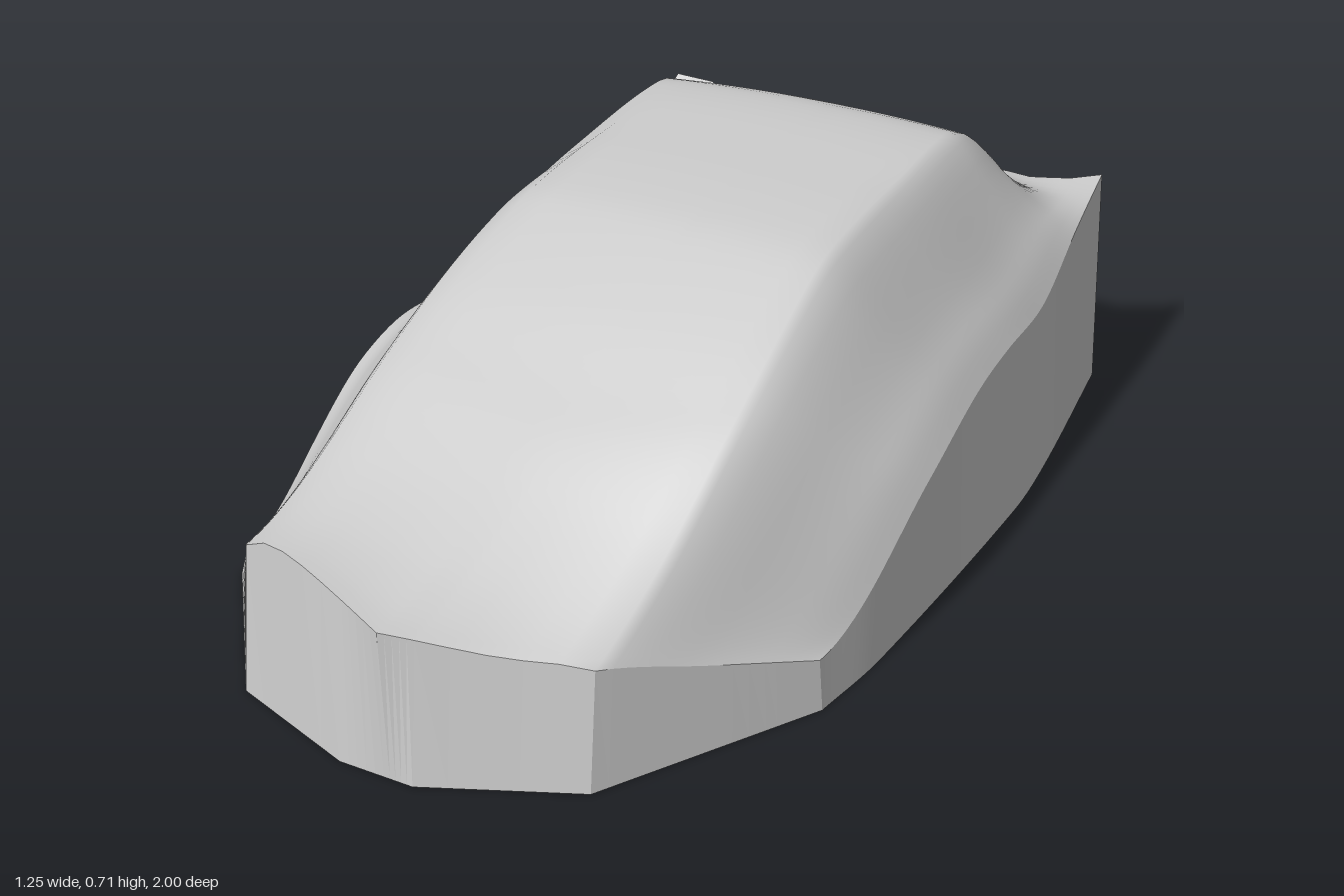
import * as THREE from 'three';

const { lerp, clamp } = THREE.MathUtils;

// Piecewise-linear lookup in [[key, value], ...]
function linear(table, k) {
  if (k <= table[0][0]) return table[0][1];
  for (let i = 1; i < table.length; i++) {
    const [k0, v0] = table[i - 1], [k1, v1] = table[i];
    if (k <= k1) return v0 + (v1 - v0) * (k - k0) / (k1 - k0);
  }
  return table[table.length - 1][1];
}

// Smooth (Hermite) lookup in the same kind of table
function smooth(table, k) {
  const n = table.length - 1;
  const slope = (i) => {
    const a = table[Math.max(i - 1, 0)], b = table[Math.min(i + 1, n)];
    return (b[1] - a[1]) / (b[0] - a[0]);
  };
  if (k <= table[0][0]) return table[0][1];
  if (k >= table[n][0]) return table[n][1];
  let i = 0;
  while (k > table[i + 1][0]) i++;
  const h = table[i + 1][0] - table[i][0], s = (k - table[i][0]) / h;
  const s2 = s * s, s3 = s2 * s;
  return table[i][1] * (2 * s3 - 3 * s2 + 1) + table[i + 1][1] * (3 * s2 - 2 * s3)
    + h * slope(i) * (s3 - 2 * s2 + s) + h * slope(i + 1) * (s3 - s2);
}

// Outlines: side edges give x at z; front and rear edges give z at u (0 = -x side, 1 = +x side)
const rim = {
  left: [[-1, -0.505], [-0.62, -0.57], [-0.3, -0.605], [0, -0.617], [0.55, -0.617]],
  right: [[-1, 0.525], [-0.6, 0.575], [-0.3, 0.592], [0, 0.615], [0.2, 0.613], [0.42, 0.592]],
  front: [[0, 0.55], [0.2, 0.87], [0.51, 1], [0.8, 0.83], [1, 0.42]],
};
const base = {
  left: [[-1, -0.52], [-0.62, -0.59], [-0.36, -0.62], [0.57, -0.62]],
  right: [[-1, 0.535], [-0.6, 0.6], [-0.4, 0.62], [0.22, 0.62], [0.42, 0.6]],
  front: [[0, 0.57], [0.2, 0.9], [0.43, 1], [0.56, 1], [0.8, 0.86], [1, 0.42]],
};
const rear = [[0, -1], [0.086, -1], [0.18, -0.91], [0.876, -0.91], [0.95, -0.95], [1, -1]];

// Height tables: roof centre line, its sideways tilt and crown, rim heights, shoulder fall-off
const roof = [[-1, 0.485], [-0.9, 0.49], [-0.85, 0.505], [-0.78, 0.57], [-0.7, 0.655], [-0.6, 0.7],
  [-0.3, 0.702], [-0.1, 0.69], [0, 0.672], [0.2, 0.6], [0.4, 0.51], [0.6, 0.43], [0.8, 0.37], [0.9, 0.345], [1, 0.315]];
const tilt = [[-0.9, 0], [-0.7, 0.05], [0, 0.05], [0.6, -0.02]];
const crown = [[-0.9, 0], [-0.7, 0.12], [0, 0.12], [0.6, 0.05]];
const leftRim = [[-1, 0.485], [-0.8, 0.34], [-0.58, 0.22], [-0.3, 0.26], [0, 0.3], [0.3, 0.2], [0.55, 0.05]];
const rightRim = [[-1, 0.485], [-0.8, 0.44], [-0.6, 0.375], [-0.4, 0.37], [-0.2, 0.35], [0, 0.3], [0.18, 0.23], [0.42, 0.11]];
const frontRim = [[0, 0.05], [0.1, 0.18], [0.2, 0.31], [0.26, 0.347], [0.34, 0.35], [0.51, 0.315],
  [0.67, 0.272], [0.8, 0.25], [0.9, 0.18], [1, 0.11]];
const leftFall = [[0, 0], [0.14, 0.1], [0.43, 0.5], [0.73, 0.83], [0.87, 0.96], [1, 1]];
const rightFall = [[0, 0], [0.18, 0.13], [0.64, 0.64], [0.86, 0.84], [1, 1]];

// Plan position of grid point (u across, t from rear to front)
function plan(o, u, t) {
  const zAt = (k) => lerp(linear(rear, k), linear(o.front, k), t);
  return [lerp(smooth(o.left, zAt(0)), smooth(o.right, zAt(1)), u), zAt(u), zAt];
}

function topPoint(u, t) {
  const [x, z, zAt] = plan(rim, u, t);
  const onRight = u > 0.5;
  // Shoulder width grows from the tail forward; d runs from shoulder (0) to rim (1)
  const grow = Math.min(1, t * 2.5);
  const width = onRight ? lerp(0.17, 0.2, grow) : lerp(0.18, 0.23, grow);
  const d = Math.max(0, 1 - (onRight ? 1 - u : u) / width);
  const zr = lerp(z, (z + zAt(onRight ? 1 - width : width)) / 2, Math.min(1, d * 2));
  let y = smooth(roof, zr) + linear(tilt, zr) * x - linear(crown, zr) * x * x;
  const edge = onRight ? smooth(rightRim, zAt(1)) : smooth(leftRim, zAt(0));
  y = lerp(y, edge, smooth(onRight ? rightFall : leftFall, d));
  // Ease into the front rim
  const nose = clamp((t - 0.72) / 0.28, 0, 1) ** 2;
  return [x, lerp(y, smooth(frontRim, u), nose), z];
}

function basePoint(u, t) {
  const [x, z] = plan(base, u, t);
  return [x, 0, z];
}

// Grid over parameter lists a and b; faces point along (db x da)
function patch(a, b, point, flat) {
  const pos = [], idx = [];
  for (const p of a) for (const q of b) pos.push(...point(p, q));
  for (let i = 0; i < a.length - 1; i++) {
    for (let j = 0; j < b.length - 1; j++) {
      const k = i * b.length + j, m = k + b.length;
      idx.push(k, k + 1, m, k + 1, m + 1, m);
    }
  }
  let geo = new THREE.BufferGeometry();
  geo.setAttribute('position', new THREE.Float32BufferAttribute(pos, 3));
  geo.setIndex(idx);
  if (flat) geo = geo.toNonIndexed();
  geo.computeVertexNormals();
  return geo;
}

function subdivide(knots, n) {
  const out = [knots[0]];
  for (let i = 1; i < knots.length; i++) {
    for (let s = 1; s <= n; s++) out.push(knots[i - 1] + (knots[i] - knots[i - 1]) * s / n);
  }
  return out;
}

export function createModel() {
  const group = new THREE.Group();
  group.name = 'carBody';
  const grey = new THREE.MeshStandardMaterial({ color: 0xcccccc });
  grey.name = 'bodyGrey';

  const us = subdivide([0, 0.086, 0.18, 0.2, 0.43, 0.51, 0.56, 0.8, 0.876, 0.95, 1], 5);
  const ts = subdivide([0, 1], 70);
  const ends = [0, 1];
  const wall = (u, t, h) => (h ? topPoint(u, t) : basePoint(u, t));

  const add = (name, geo) => {
    const mesh = new THREE.Mesh(geo, grey);
    mesh.name = name;
    group.add(mesh);
  };

  // Smooth bonnet, roof, shoulders and tail
  add('upperShell', patch(us, ts, topPoint));
  // Walls from the rim down to the ground
  add('frontWall', patch(ends, us, (h, u) => wall(u, 1, h), true));
  add('rearWall', patch(us, ends, (u, h) => wall(u, 0, h), true));
  add('rightSideWall', patch(ends, ts, (h, t) => wall(0, t, h)));
  add('leftSideWall', patch(ts, ends, (t, h) => wall(1, t, h)));
  // Flat underside
  add('underside', patch(ts, us, (t, u) => basePoint(u, t), true));
  return group;
}
